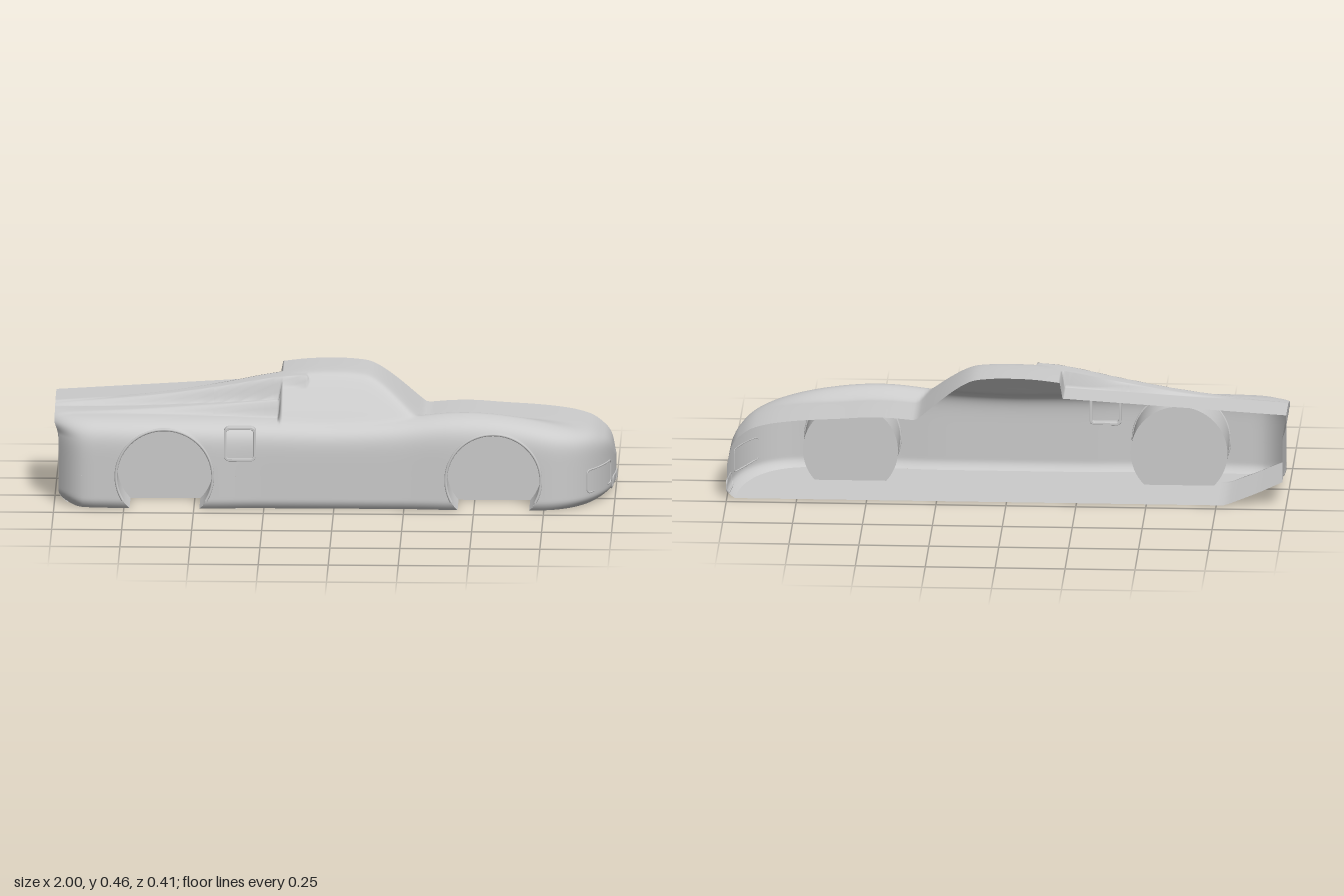
import * as THREE from 'three';

const CUT = -0.206; // plane where the half shell ends
const WAIST = 0.12; // height joining upper body and lower panels
const WHEELS = [{ x: -0.605, y: 0.12, r: 0.173 }, { x: 0.57, y: 0.112, r: 0.17 }];
const WELL_Z = 0.03;
const { lerp, smoothstep, clamp } = THREE.MathUtils;
const smax = (a, b, k) => (a + b + Math.hypot(a - b, k)) / 2;
const smin = (a, b, k) => -smax(-a, -b, k);

// smooth curve through [x, y] points
function curve(pts) {
  const slope = (i) => {
    const a = pts[Math.max(i - 1, 0)], b = pts[Math.min(i + 1, pts.length - 1)];
    return (b[1] - a[1]) / (b[0] - a[0]);
  };
  return (x) => {
    let i = 0;
    while (i < pts.length - 2 && x > pts[i + 1][0]) i++;
    const [x0, y0] = pts[i], [x1, y1] = pts[i + 1], d = x1 - x0;
    const t = clamp((x - x0) / d, 0, 1), s = t * t * (3 - 2 * t);
    return lerp(y0, y1, s) + d * t * (1 - t) * ((1 - t) * slope(i) - t * slope(i + 1));
  };
}

const shoulder = curve([[-1, 0.325], [-0.6, 0.325], [-0.2, 0.316], [0, 0.313], [0.2, 0.322], [0.4, 0.344],
  [0.52, 0.345], [0.65, 0.33], [0.78, 0.302], [0.9, 0.266], [0.95, 0.235], [0.985, 0.19], [1, 0.12]]);
const roof = curve([[-0.25, 0.438], [-0.2, 0.447], [-0.1, 0.459], [0, 0.462], [0.07, 0.459], [0.13, 0.448],
  [0.2, 0.405], [0.315, 0.308], [0.4, 0.23]]);
const buttress = curve([[-1, 0.335], [-0.8, 0.352], [-0.6, 0.375], [-0.4, 0.408], [-0.2, 0.446], [-0.08, 0.456]]);

// plan half-width, rounded at nose and tail
function width(x) {
  const flare = WHEELS.reduce((s, w) => s + 0.012 * Math.exp(-(((x - w.x) / 0.24) ** 4)), 0.187);
  if (x < -0.85) return flare - 0.085 * ((-0.85 - x) / 0.15) ** 2.5;
  if (x < 0.72) return flare;
  const f = Math.sqrt(Math.max(0, 1 - Math.min(1, (x - 0.72) / 0.28) ** 2.5));
  return CUT + (flare - CUT) * f;
}

// height of hood, cabin, deck, side terrace and buttress
function topY(x, z) {
  const valley = smoothstep(x, 0.05, 0.3) * (1 - smoothstep(x, 0.55, 0.93));
  const base = shoulder(x) - 0.037 * valley * (1 - smoothstep(z, 0, 0.11));
  const raise = (h, mask) => base + Math.max(0, h - base) * mask;
  let y = base;
  if (x < 0.42) {
    const cabin = smin(roof(x), 0.465 - 1.15 * z, 0.02);
    y = smax(base, lerp(base - 0.1, cabin, smoothstep(x, -0.214, -0.19)), 0.008);
  }
  if (x < -0.05) {
    const behind = 1 - smoothstep(x, -0.2, -0.18);
    const edge = lerp(-0.01, 0.05, clamp((x + 0.9) / 0.8, 0, 1));
    const side = smoothstep(z, -0.07, -0.055) * (1 - smoothstep(z, edge - 0.025, edge + 0.012));
    const deck = raise(0.34 + 0.0625 * (x + 1), (1 - smoothstep(z, -0.05, -0.01)) * behind);
    const terrace = raise(0.328 + 0.045 * clamp((x + 0.95) / 0.75, 0, 1) ** 1.5,
      (1 - smoothstep(z, 0.055, 0.078)) * behind);
    y = Math.max(y, deck, terrace, raise(buttress(x), side * (1 - smoothstep(x, -0.1, -0.07))));
  }
  return y;
}

// tail face leans in below its top lip and rounds at the bottom
function leanTail(x, y) {
  const tail = clamp((-0.9 - x) / 0.1, 0, 1);
  return x + tail * (0.014 * (1 - smoothstep(y, 0.25, 0.295)) + 0.035 * Math.max(0, 1 - y / 0.05) ** 2);
}

// lower rim of the upper body, following the wheel arches
function rim(x) {
  for (const w of WHEELS) {
    const d = Math.abs(x - w.x);
    if (d < w.r) return w.y + Math.sqrt(w.r ** 2 - d ** 2);
  }
  return WAIST;
}

// point on the upper body at station x, angle t from centre (0) to side (1)
function section(x, t) {
  const S = Math.sin(t * Math.PI / 2), C = t === 1 ? 0 : Math.cos(t * Math.PI / 2);
  const n = (S ** 6 + C ** 6) ** (1 / 6);
  const z = CUT + (width(x) - CUT) * S / n;
  const y = Math.max(rim(x), WAIST + (topY(x, z) - WAIST) * C / n);
  return [leanTail(x, y), y, z];
}

// point on the lower side, tucked in towards the floor
function skirt(x, y) {
  const tuck = Math.max(0, 1 - y / 0.035) ** 2;
  const nose = 0.03 * tuck * Math.max(0, (x - 0.72) / 0.28);
  return [leanTail(x, y) - nose, y, Math.max(CUT, width(x) - 0.016 * tuck)];
}

// diffuser ramp at the tail
const floorY = (x, z) => 0.09 * clamp((-0.78 - x) / 0.22, 0, 1) * (1 - smoothstep(z, 0.07, 0.085));

function grid(nu, nv, fn) {
  const pos = [], index = [];
  for (let i = 0; i <= nu; i++) for (let j = 0; j <= nv; j++) {
    pos.push(...fn(i / nu, j / nv));
    if (i < nu && j < nv) {
      const a = i * (nv + 1) + j, b = a + nv + 1;
      index.push(a, a + 1, b, b, a + 1, b + 1);
    }
  }
  const g = new THREE.BufferGeometry();
  g.setAttribute('position', new THREE.Float32BufferAttribute(pos, 3));
  g.setIndex(index);
  g.computeVertexNormals();
  return g;
}

function roundedRect(Type, w, h, r) {
  const s = new Type(), x = w / 2, y = h / 2;
  s.moveTo(-x + r, -y);
  s.absarc(x - r, -y + r, r, -Math.PI / 2, 0);
  s.absarc(x - r, y - r, r, 0, Math.PI / 2);
  s.absarc(-x + r, y - r, r, Math.PI / 2, Math.PI);
  s.absarc(-x + r, -y + r, r, Math.PI, Math.PI * 1.5);
  return s;
}

export function createModel() {
  const group = new THREE.Group();
  const material = new THREE.MeshStandardMaterial({ color: 0xcccccc, side: THREE.DoubleSide });
  const add = (name, geometry) => {
    const mesh = new THREE.Mesh(geometry, material);
    mesh.name = name;
    group.add(mesh);
    return mesh;
  };

  // upper body: stations gather at the arch ends and the nose
  const [rear, front] = WHEELS;
  const xs = [];
  const span = (a, b, n, ease) => { for (let i = 0; i < n; i++) xs.push(lerp(a, b, ease(i / n))); };
  const even = (t) => t, both = (t) => (1 - Math.cos(Math.PI * t)) / 2, end = (t) => Math.sin(t * Math.PI / 2);
  span(-1, rear.x - rear.r, 24, even);
  span(rear.x - rear.r, rear.x + rear.r, 40, both);
  span(rear.x + rear.r, -0.22, 16, even);
  span(-0.22, -0.06, 32, even);
  span(-0.06, front.x - front.r, 36, even);
  span(front.x - front.r, front.x + front.r, 40, both);
  span(front.x + front.r, 1, 36, end);
  xs.push(1);
  add('upperBody', grid(xs.length - 1, 120, (u, v) => section(xs[Math.round(u * (xs.length - 1))], v)));

  // lower panels between the wheel openings
  const archX = (w, side) => (y) => w.x + side * Math.sqrt(w.r ** 2 - (y - w.y) ** 2);
  const panels = [
    ['rearCorner', () => -1, archX(rear, -1), even],
    ['sill', archX(rear, 1), archX(front, -1), even],
    ['frontBumper', archX(front, 1), () => 1, end],
  ];
  for (const [name, from, to, ease] of panels) {
    add(name, grid(40, 16, (u, v) => {
      const y = WAIST * (1 - v);
      return skirt(lerp(from(y), to(y), ease(u)), y);
    }));
  }

  // tail wall above the diffuser
  add('tailWall', grid(120, 12, (u, v) => {
    const [, top, z] = section(-1, u);
    const y = lerp(top, floorY(-1, z), v);
    return [leanTail(-1, y), y, z];
  }));

  // floor, cut back to the wells beside each wheel
  const cuts = [-1, archX(rear, -1)(0), archX(rear, 1)(0), archX(front, -1)(0), archX(front, 1)(0), 1];
  for (let k = 0; k < 5; k++) {
    add('floor', grid(k === 4 ? 36 : 12, 40, (u, v) => {
      const station = lerp(cuts[k], cuts[k + 1], k === 4 ? end(u) : u);
      const [x, , edge] = skirt(station, 0);
      const z = lerp(CUT, k % 2 ? WELL_Z : edge, v), y = floorY(station, z);
      return [k ? x : leanTail(station, y), y, z];
    }));
  }

  // wheel wells: curved wall, flat inner face and a fine arch lip
  for (const w of WHEELS) {
    const a = Math.asin(w.y / w.r);
    const arc = (u) => {
      const t = lerp(-a, Math.PI + a, u);
      return [w.x + w.r * Math.cos(t), w.y + w.r * Math.sin(t)];
    };
    add('wheelWellWall', grid(48, 2, (u, v) => {
      const [x, y] = arc(u);
      return [x, y, lerp(skirt(x, y)[2], WELL_Z, v)];
    }));
    const face = new THREE.Shape().absarc(w.x, w.y, w.r, -a, Math.PI + a);
    add('wheelWellFace', new THREE.ShapeGeometry(face, 48)).position.z = WELL_Z;
    const lip = [];
    for (let i = 2; i <= 38; i++) {
      const [x, y] = arc(i / 40);
      lip.push(new THREE.Vector3(x, y, skirt(x, y)[2]));
    }
    add('archLip', new THREE.TubeGeometry(new THREE.CatmullRomCurve3(lip), 64, 0.005, 8));
  }

  // side air intake frame
  const frame = roundedRect(THREE.Shape, 0.111, 0.121, 0.016);
  frame.holes.push(roundedRect(THREE.Path, 0.099, 0.109, 0.012));
  const intake = add('sideIntake', new THREE.ExtrudeGeometry(frame, {
    depth: 0.025, bevelEnabled: true, bevelSize: 0.002, bevelThickness: 0.002, bevelSegments: 2, curveSegments: 6,
  }));
  intake.position.set(-0.335, 0.24, 0.168);

  // headlight and grille rims laid on the curved nose
  const noseX = (z) => 0.721 + 0.28 * (1 - ((z - CUT) / 0.395) ** 2) ** 0.4;
  const noseRim = (name, z0, z1, y0, y1) => {
    const pts = roundedRect(THREE.Path, z1 - z0, y1 - y0, 0.012).getSpacedPoints(64).slice(0, -1).map((p) => {
      const z = p.x + (z0 + z1) / 2, y = p.y + (y0 + y1) / 2;
      return new THREE.Vector3(skirt(noseX(z), y)[0], y, z);
    });
    add(name, new THREE.TubeGeometry(new THREE.CatmullRomCurve3(pts, true), 96, 0.003, 6, true));
  };
  noseRim('headlightRim', -0.052, 0.114, 0.048, 0.131);
  noseRim('grilleRim', CUT + 0.003, -0.085, 0.017, 0.061);

  return group;
}
